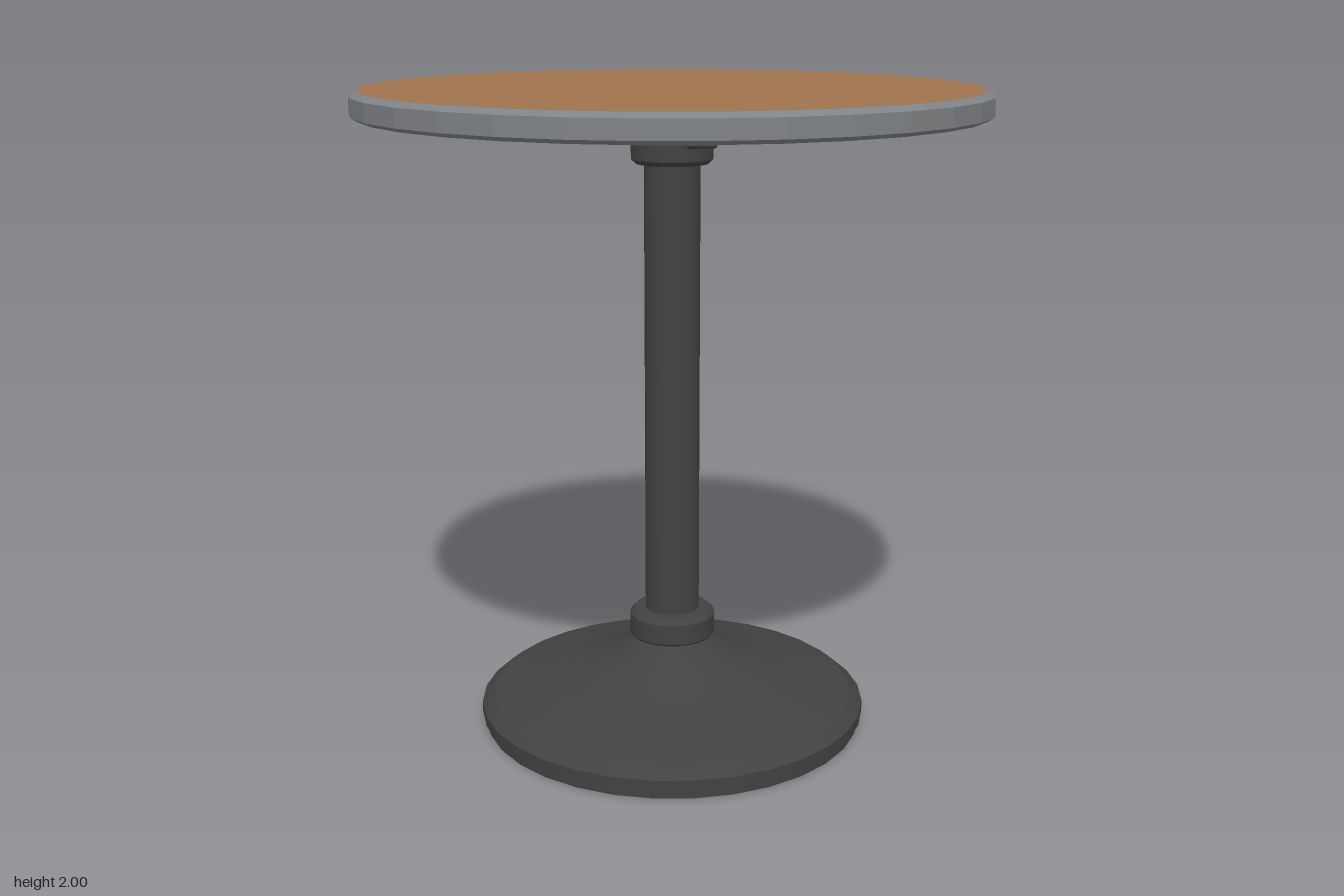
import * as THREE from 'three';
import { toCreasedNormals } from 'three/addons/utils/BufferGeometryUtils.js';

const SIDES = 32;

const material = (name, color) => {
  const m = new THREE.MeshStandardMaterial({ color });
  m.name = name;
  return m;
};

// Turned part from [radius, height] pairs, listed bottom to top
function turned(name, profile, mat, crease = 0.42) {
  const points = profile.map(([r, y]) => new THREE.Vector2(r, y));
  const geometry = toCreasedNormals(new THREE.LatheGeometry(points, SIDES), crease);
  const mesh = new THREE.Mesh(geometry, mat);
  mesh.name = name;
  return mesh;
}

// Flat bar with chamfered edges, centred on the origin in x and z, resting on y = 0
function bar(length, height, width, bevel) {
  const w = length / 2 - bevel, d = width / 2 - bevel;
  const shape = new THREE.Shape([
    new THREE.Vector2(-w, -d), new THREE.Vector2(w, -d),
    new THREE.Vector2(w, d), new THREE.Vector2(-w, d),
  ]);
  const geometry = new THREE.ExtrudeGeometry(shape, {
    depth: height - 2 * bevel, bevelEnabled: true,
    bevelSize: bevel, bevelThickness: bevel, bevelSegments: 1,
  });
  return geometry.translate(0, 0, bevel).rotateX(-Math.PI / 2);
}

export function createModel() {
  const wood = material('wood', 0xa0734d);
  const steel = material('steel edging', 0x808386);
  const iron = material('dark iron', 0x424242);

  const table = new THREE.Group();
  table.name = 'pedestalTable';

  // Foot: low plinth, rounded lip and a sweeping bell
  table.add(turned('base', [
    [0, 0], [0.6, 0], [0.6, 0.025], [0.612, 0.03], [0.612, 0.063], [0.573, 0.095],
    [0.41, 0.138], [0.225, 0.198], [0.15, 0.255], [0.125, 0.285], [0, 0.285],
  ], iron));

  // Column and its two collars
  table.add(turned('column', [[0.085, 0.28], [0.085, 1.88]], iron));
  table.add(turned('lowerCollar', [
    [0.085, 0.275], [0.128, 0.275], [0.135, 0.285], [0.135, 0.348], [0.118, 0.366], [0.08, 0.366],
  ], iron));
  table.add(turned('upperCollar', [
    [0.08, 1.776], [0.11, 1.776], [0.124, 1.79], [0.124, 1.86], [0.112, 1.875], [0.08, 1.875],
  ], iron));

  // Mounting plate and cross arms beneath the top
  table.add(turned('mountingPlate', [
    [0, 1.872], [0.335, 1.872], [0.35, 1.882], [0.35, 1.92], [0, 1.92],
  ], iron));
  const armGeometry = bar(1.45, 0.03, 0.08, 0.006);
  for (const angle of [Math.PI / 4, -Math.PI / 4]) {
    const arm = new THREE.Mesh(armGeometry, iron);
    arm.name = 'supportArm';
    arm.position.y = 1.891;
    arm.rotation.y = angle;
    table.add(arm);
  }

  // Wooden top with a faceted, chamfered metal edge
  table.add(turned('tabletop', [[0, 1.92], [0.925, 1.92], [0.92, 2], [0, 2]], wood));
  table.add(turned('edgeBand', [
    [0.925, 1.92], [0.945, 1.932], [0.945, 1.986], [0.92, 2],
  ], steel, 0.1));

  return table;
}
